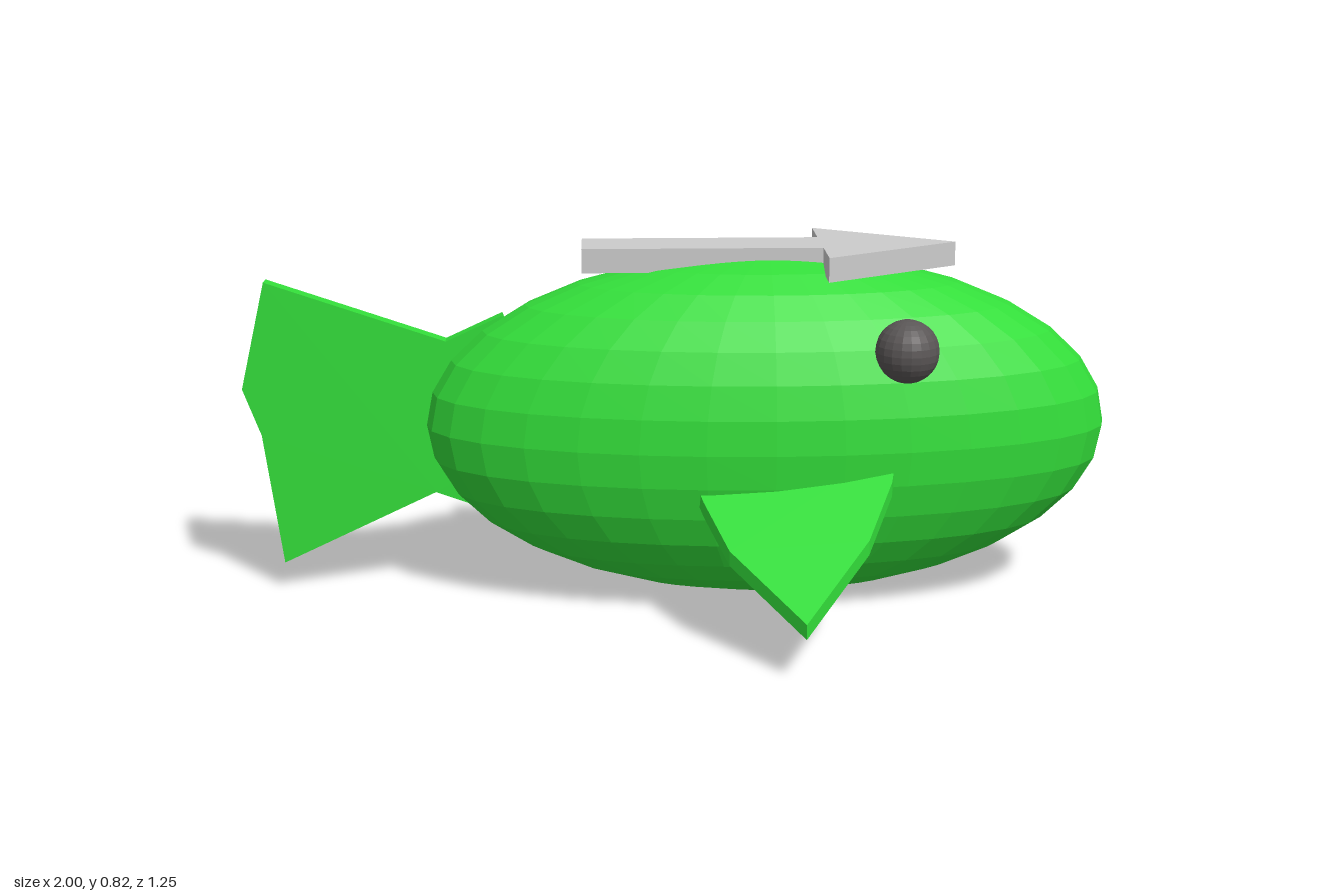
import * as THREE from 'three';

const material = (color) =>
  new THREE.MeshStandardMaterial({ color, flatShading: true, roughness: 0.8 });

// Flat plate cut from an outline, in the xy plane, between z0 and z1
function plate(points, z0, z1) {
  const shape = new THREE.Shape(points.map(([x, y]) => new THREE.Vector2(x, y)));
  const geometry = new THREE.ExtrudeGeometry(shape, { depth: z1 - z0, bevelEnabled: false });
  return geometry.translate(0, 0, z0);
}

export function createModel() {
  const group = new THREE.Group();
  const green = material(0x33dd3a);
  const dark = material(0x5a5656);
  const grey = material(0xcccccc);

  function add(name, geometry, mat) {
    const mesh = new THREE.Mesh(geometry, mat);
    mesh.name = name;
    group.add(mesh);
    return mesh;
  }

  // Body: faceted ellipsoid with upright poles
  const body = add('body', new THREE.SphereGeometry(1, 32, 16), green);
  body.scale.set(0.787, 0.4, 0.303);
  body.position.set(0.21, 0.405, -0.01);

  // Tail fan and the short root that runs into the body
  const fan = [[-0.53, 0.6], [-0.94, 0.74], [-1, 0.49], [-0.96, 0.38], [-0.92, 0.07], [-0.56, 0.24], [-0.57, 0.42]];
  add('tailFan', plate(fan, -0.06, -0.02), green);
  const root = [[-0.53, 0.6], [-0.57, 0.42], [-0.56, 0.24], [-0.38, 0.175], [-0.3, 0.4], [-0.4, 0.66]];
  add('tailRoot', plate(root, -0.06, -0.016), green);

  // Side fins: outline in x and outward z, sloped down and tilted up to the nose
  const finOutline = [[0.02, 0.2], [0.05, 0.3], [0.1, 0.43], [0.25, 0.625], [0.4, 0.44], [0.465, 0.3], [0.49, 0.2]];
  for (const side of [1, -1]) {
    const geometry = plate(finOutline.map(([x, z]) => [x, side * z]), 0, 0.033);
    geometry.rotateX(Math.PI / 2);
    const p = geometry.attributes.position;
    for (let i = 0; i < p.count; i++) {
      const drop = 0.58 * (Math.abs(p.getZ(i)) - 0.28);
      p.setY(i, p.getY(i) + 0.335 - drop + 0.1 * (p.getX(i) - 0.25));
    }
    geometry.computeVertexNormals();
    const fin = add(side > 0 ? 'frontFin' : 'backFin', geometry, green);
    fin.position.z = -0.005;

    // Eyes half sunk into the body
    const eye = add(side > 0 ? 'frontEye' : 'backEye', new THREE.SphereGeometry(0.071, 20, 14), dark);
    eye.position.set(0.5, 0.625, -0.007 + side * 0.235);
  }

  // Arrow lying on the back, pointing to the nose
  const arrow = [[-0.215, -0.07], [0.33, -0.07], [0.33, -0.2], [0.64, 0], [0.33, 0.2], [0.33, 0.07], [-0.215, 0.07]];
  const arrowMesh = add('arrow', plate(arrow, 0, 0.055).rotateX(-Math.PI / 2), grey);
  arrowMesh.position.set(0, 0.77, -0.02);

  return group;
}
